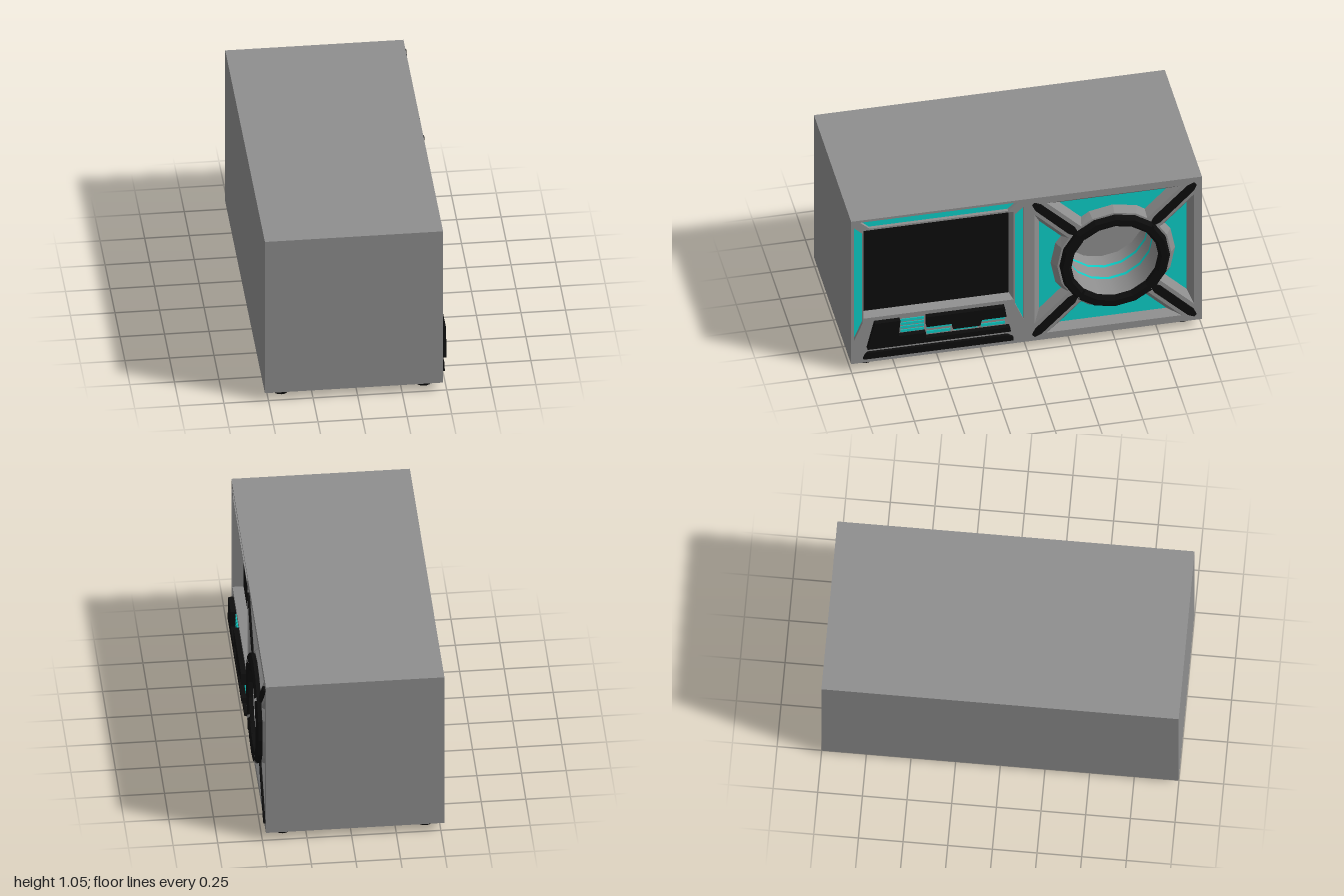
import * as THREE from 'three';

const FACE = 0.48; // depth of the control face
const mat = (name, color) => {
  const m = new THREE.MeshStandardMaterial({ color });
  m.name = name;
  return m;
};

export function createModel() {
  const grey = mat('case grey', 0x8f8f8f);
  const black = mat('matte black', 0x0d0d0d);
  const cyan = mat('accent cyan', 0x0dcfc8);

  const root = new THREE.Group();
  root.name = 'cabinet';
  // Panel space: x runs along the control face, y up, z out of it
  const panel = new THREE.Group();
  panel.name = 'controlSide';
  panel.rotation.y = Math.PI / 2;
  root.add(panel);

  const add = (parent, name, geo, material) => {
    const m = new THREE.Mesh(geo, material);
    m.name = name;
    parent.add(m);
    return m;
  };
  const pts = (list) => {
    const v = list.map(([x, y]) => new THREE.Vector2(x, y));
    return THREE.ShapeUtils.isClockWise(v) ? v.reverse() : v;
  };
  const rect = (x0, x1, y0, y1) => [[x0, y0], [x1, y0], [x1, y1], [x0, y1]];
  const flat = (geo) => {
    const g = geo.index ? geo.toNonIndexed() : geo;
    g.computeVertexNormals();
    return g;
  };

  // Case: a box without its control face
  const box = new THREE.BoxGeometry(1, 1, 2);
  box.setIndex(Array.from(box.index.array).slice(6));
  box.clearGroups();
  box.translate(-0.02, 0.55, 0);
  add(root, 'case', box, grey);

  // Control face, opened by every recess
  const face = new THREE.Shape(pts(rect(-1, 1, 0.05, 1.05)));

  // Recess: hole in the face, walls down to a coloured floor
  const recess = (name, outer, inner, depth, floorMat) => {
    const a = pts(outer), b = pts(inner), pos = [];
    face.holes.push(new THREE.Path(a));
    a.forEach((a0, i) => {
      const j = (i + 1) % a.length, a1 = a[j], b0 = b[i], b1 = b[j], f = FACE - depth;
      pos.push(a0.x, a0.y, FACE, a1.x, a1.y, FACE, b1.x, b1.y, f);
      pos.push(a0.x, a0.y, FACE, b1.x, b1.y, f, b0.x, b0.y, f);
    });
    const walls = new THREE.BufferGeometry();
    walls.setAttribute('position', new THREE.Float32BufferAttribute(pos, 3));
    walls.computeVertexNormals();
    add(panel, name + 'Walls', walls, grey);
    const floor = new THREE.ShapeGeometry(new THREE.Shape(b));
    floor.translate(0, 0, FACE - depth);
    add(panel, name, floor, floorMat);
  };

  // Screen and the light strips around it
  recess('screen', rect(-0.93, -0.075, 0.358, 0.974), rect(-0.917, -0.09, 0.366, 0.965), 0.06, black);
  const topStrip = [[-0.95, 1.035], [-0.05, 1.035], [-0.105, 0.985], [-0.895, 0.985]];
  recess('topLightStrip', topStrip, topStrip, 0.02, cyan);
  for (const s of [-1, 1]) {
    const strip = [[0.483, 1.0], [0.435, 0.955], [0.435, 0.325], [0.483, 0.21]]
      .map(([x, y]) => [-0.5 + s * x, y]);
    recess('sideLightStrip', strip, strip, 0.02, cyan);
  }

  // Four light windows around the port
  const C = [0.5, 0.55];
  const turn = (list, k) => list.map(([x, y]) => {
    const c = Math.round(Math.cos(k * Math.PI / 2)), s = Math.round(Math.sin(k * Math.PI / 2));
    return [C[0] + x * c - y * s, C[1] + x * s + y * c];
  });
  const winOuter = [[-0.385, 0.455], [0.385, 0.455], [0.188, 0.258], [0.124, 0.3], [0, 0.325], [-0.124, 0.3], [-0.188, 0.258]];
  const winInner = [[-0.305, 0.42], [0.305, 0.42], [0.181, 0.296], [0.136, 0.328], [0, 0.355], [-0.136, 0.328], [-0.181, 0.296]];
  for (let k = 0; k < 4; k++) recess('lightWindow', turn(winOuter, k), turn(winInner, k), 0.04, cyan);

  // Port: deep round tunnel with two glowing bands
  const circle = [];
  for (let i = 0; i < 16; i++) {
    const t = i * Math.PI / 8;
    circle.push([C[0] + 0.25 * Math.cos(t), C[1] + 0.25 * Math.sin(t)]);
  }
  face.holes.push(new THREE.Path(pts(circle)));
  const port = new THREE.Group();
  port.name = 'port';
  port.position.set(C[0], C[1], 0);
  panel.add(port);
  const lathe = (profile, start = 0, length = Math.PI * 2, seg = 16) =>
    new THREE.LatheGeometry(profile.map(([r, z]) => new THREE.Vector2(r, z)), seg, start, length)
      .rotateX(Math.PI / 2);
  const depths = [0.48, 0.335, 0.315, 0.225, 0.205, 0.12];
  for (let i = 0; i < 5; i++) {
    add(port, i % 2 ? 'tunnelLightBand' : 'tunnelWall',
      lathe([[0.25, depths[i]], [0.25, depths[i + 1]]]), i % 2 ? cyan : grey);
  }
  add(port, 'tunnelFloor', new THREE.CircleGeometry(0.25, 16).translate(0, 0, 0.12), grey);

  // Port rim: a base ring and four bevelled arcs split at the diagonals
  add(port, 'rimBase', flat(lathe([[0.313, 0.48], [0.305, 0.5], [0.25, 0.5], [0.25, 0.48]])), black);
  const rim = [[0.313, 0.48], [0.313, 0.503], [0.3, 0.515], [0.265, 0.515], [0.25, 0.505], [0.25, 0.48]];
  for (let k = 0; k < 4; k++) {
    const start = Math.PI / 4 + k * Math.PI / 2 + 0.03;
    add(port, 'rimArc', flat(lathe(rim, start, Math.PI / 2 - 0.06, 4)), black);
  }

  // Raised plates on the face
  const plate = (parent, name, list, depth, material) => {
    const g = new THREE.ExtrudeGeometry(new THREE.Shape(pts(list)), { depth, bevelEnabled: false });
    g.translate(0, 0, FACE);
    return add(parent, name, g, material);
  };

  // Diagonal braces
  const brace = [[0.305, -0.012], [0.345, -0.026], [0.615, -0.024], [0.652, -0.01],
    [0.652, 0.01], [0.615, 0.024], [0.345, 0.026], [0.305, 0.012]];
  for (let k = 0; k < 4; k++) {
    plate(port, 'diagonalBrace', brace, 0.01, black).rotation.z = Math.PI / 4 + k * Math.PI / 2;
  }

  // Control deck below the screen
  plate(panel, 'lowerDeck', [[-0.87, 0.334], [-0.725, 0.334], [-0.735, 0.227], [-0.58, 0.227],
    [-0.58, 0.19], [-0.1, 0.19], [-0.095, 0.158], [-0.912, 0.158]], 0.03, black);
  plate(panel, 'upperDeck', [[-0.575, 0.334], [-0.13, 0.334], [-0.12, 0.265], [-0.26, 0.265],
    [-0.27, 0.227], [-0.425, 0.227], [-0.425, 0.265], [-0.575, 0.265]], 0.03, black);
  plate(panel, 'bottomStrip', [[-0.907, 0.125], [-0.11, 0.125], [-0.078, 0.104], [-0.078, 0.083],
    [-0.933, 0.083], [-0.922, 0.11]], 0.017, black);

  // Lit keys: x range, y centre, height
  const keys = [0.315, 0.29, 0.265, 0.24].map((y) => [-0.72, -0.585, y, 0.016]);
  keys.push([-0.57, -0.43, 0.244, 0.02], [-0.26, -0.125, 0.244, 0.02]);
  for (const x of [-0.57, -0.415, -0.26]) keys.push([x, x + 0.135, 0.208, 0.018]);
  for (const [x0, x1, y, h] of keys) plate(panel, 'litKey', rect(x0, x1, y - h / 2, y + h / 2), 0.004, cyan);

  add(panel, 'controlFace', new THREE.ShapeGeometry(face).translate(0, 0, FACE), grey);

  // Feet
  for (const x of [-0.42, 0.38]) for (const z of [-0.9, 0.9]) {
    add(root, 'foot', new THREE.CylinderGeometry(0.062, 0.043, 0.05, 16), black).position.set(x, 0.025, z);
  }
  return root;
}
